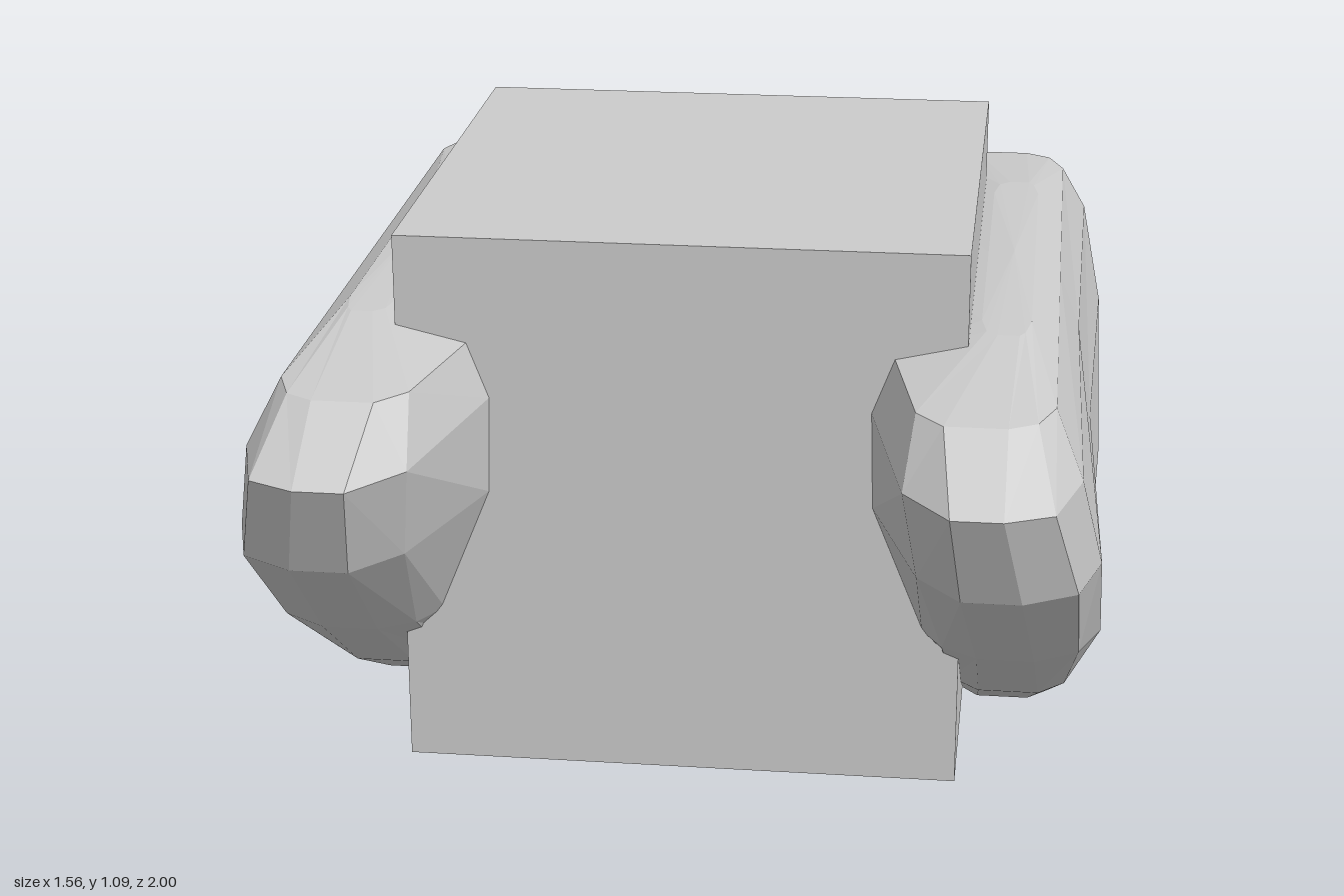
import * as THREE from 'three';

// Horizontal sections of a side pod, bottom to top.
// Each half loop runs from the inner middle, round the front end, to the outer middle: [x, z].
const sections = [
  { y: 0.005, half: [[0.54, 0], [0.54, 0.01], [0.545, 0.02], [0.55, 0.03], [0.63, 0.03], [0.64, 0.02], [0.645, 0.01], [0.645, 0]] },
  { y: 0.035, half: [[0.50, 0], [0.50, 0.03], [0.505, 0.07], [0.55, 0.12], [0.65, 0.12], [0.69, 0.08], [0.70, 0.04], [0.70, 0]] },
  { y: 0.14, half: [[0.46, 0], [0.47, 0.15], [0.50, 0.26], [0.555, 0.31], [0.67, 0.31], [0.72, 0.26], [0.75, 0.13], [0.75, 0]] },
  { y: 0.35, half: [[0.42, 0], [0.45, 0.50], [0.49, 0.57], [0.555, 0.61], [0.66, 0.61], [0.74, 0.56], [0.78, 0.46], [0.765, 0]] },
  { y: 0.60, half: [[0.33, 0], [0.355, 0.52], [0.45, 0.82], [0.53, 0.915], [0.635, 0.915], [0.73, 0.86], [0.77, 0.72], [0.75, 0]] },
  { y: 0.785, half: [[0.33, 0], [0.35, 0.52], [0.425, 0.89], [0.51, 1], [0.60, 1], [0.685, 0.96], [0.73, 0.80], [0.72, 0]] },
  { y: 0.89, half: [[0.38, 0], [0.39, 0.52], [0.44, 0.78], [0.49, 0.84], [0.60, 0.84], [0.65, 0.81], [0.68, 0.73], [0.68, 0]] },
  { y: 0.93, half: [[0.54, 0], [0.54, 0.40], [0.55, 0.46], [0.57, 0.48], [0.61, 0.48], [0.62, 0.46], [0.63, 0.40], [0.63, 0]] },
];

// Lofted pod; side is +1 for the model's left, -1 for its right
function podGeometry(side) {
  const positions = [];
  const index = [];
  const n = 14;
  for (const { y, half } of sections) {
    const back = half.slice(1, -1).reverse().map(([x, z]) => [x, -z]);
    for (const [x, z] of [...half, ...back]) positions.push(x * side, y, z);
  }
  const tri = (a, b, c) => (side > 0 ? index.push(a, b, c) : index.push(a, c, b));
  for (let s = 0; s < sections.length - 1; s++) {
    for (let i = 0; i < n; i++) {
      const a = s * n + i;
      const b = s * n + ((i + 1) % n);
      tri(a, b, b + n);
      tri(a, b + n, a + n);
    }
  }
  // End caps
  const top = (sections.length - 1) * n;
  const bottomCentre = sections.length * n;
  positions.push(0.595 * side, 0, 0, 0.59 * side, 0.935, 0);
  for (let i = 0; i < n; i++) {
    const j = (i + 1) % n;
    tri(bottomCentre, j, i);
    tri(bottomCentre + 1, top + i, top + j);
  }
  const indexed = new THREE.BufferGeometry();
  indexed.setAttribute('position', new THREE.Float32BufferAttribute(positions, 3));
  indexed.setIndex(index);
  const geometry = indexed.toNonIndexed();
  geometry.computeVertexNormals(); // faceted normals
  return geometry;
}

export function createModel() {
  const group = new THREE.Group();
  const grey = new THREE.MeshStandardMaterial({ color: 0xcccccc });
  grey.name = 'light grey';

  // Central cube
  const body = new THREE.Mesh(new THREE.BoxGeometry(1.04, 1.04, 1.04), grey);
  body.name = 'body';
  body.position.y = 0.57;
  group.add(body);

  // Mirrored side pods
  for (const side of [1, -1]) {
    const pod = new THREE.Mesh(podGeometry(side), grey);
    pod.name = side > 0 ? 'leftPod' : 'rightPod';
    group.add(pod);
  }
  return group;
}
